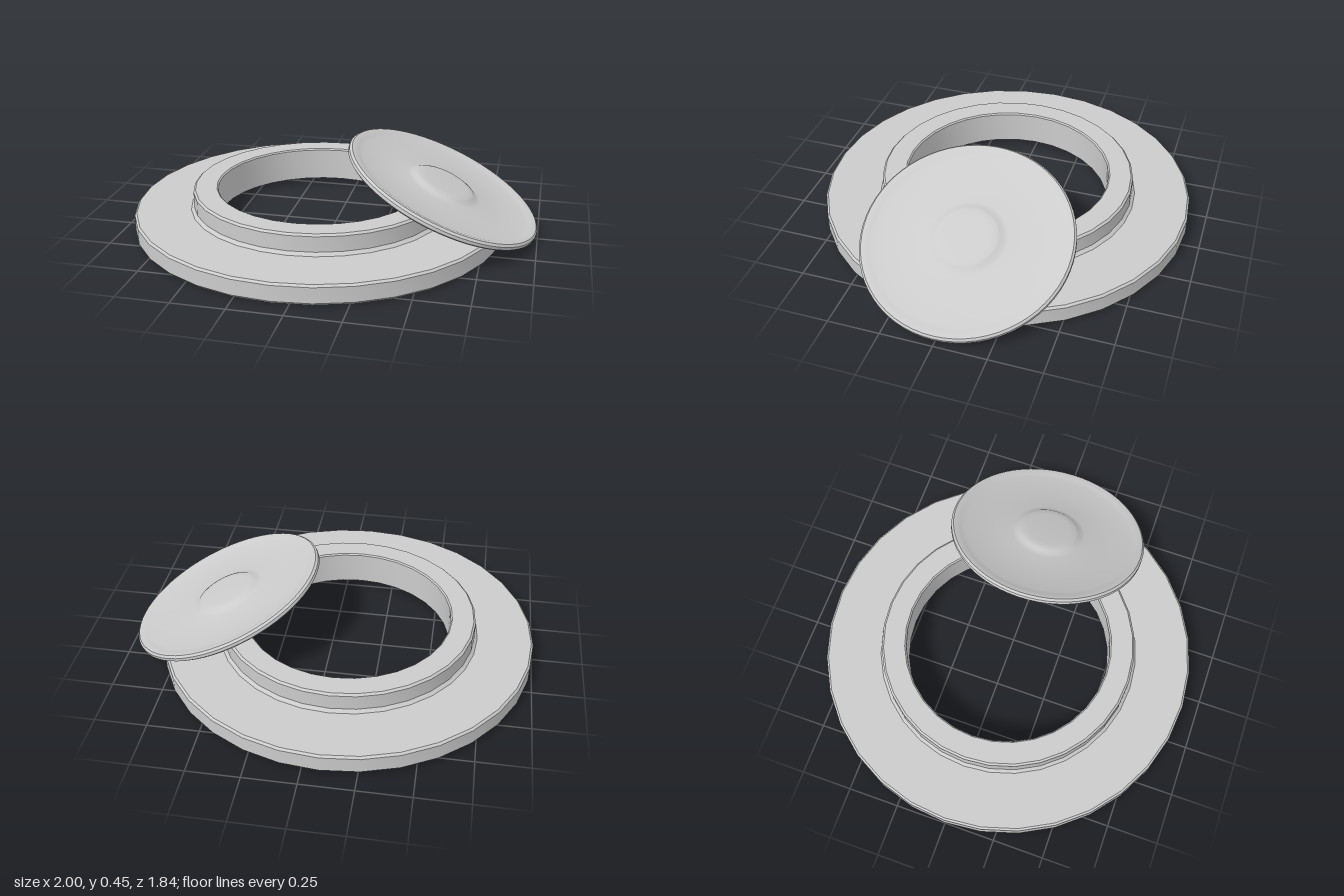
import * as THREE from 'three';
import { toCreasedNormals } from 'three/addons/utils/BufferGeometryUtils.js';

const material = new THREE.MeshStandardMaterial({ color: 0xcccccc, side: THREE.DoubleSide });

// Turned part from [radius, height] pairs, listed counter-clockwise
function turned(name, profile, segments, crease) {
  const points = profile.map(([r, y]) => new THREE.Vector2(r, y));
  const geometry = toCreasedNormals(new THREE.LatheGeometry(points, segments), crease);
  const mesh = new THREE.Mesh(geometry, material);
  mesh.name = name;
  return mesh;
}

export function createModel() {
  const model = new THREE.Group();
  model.name = 'ringWithLid';

  // Hollow flange with a raised collar and an inner tube, open underneath
  const ring = turned('flangedRing', [
    [0.63, 0], [0.905, 0], [0.92, 0.015], [0.92, 0.09], [0.91, 0.1],
    [0.645, 0.1], [0.63, 0.115], [0.63, 0.19], [0.62, 0.2],
    [0.515, 0.2], [0.508, 0.193], [0.508, 0.03],
  ], 32, 0.5);
  ring.position.x = -0.08;
  model.add(ring);

  // Dished lid with a soft central boss, leaning on the collar
  const lid = turned('lid', [
    [0, -0.01], [0.44, -0.01], [0.46, -0.018], [0.488, -0.018], [0.5, -0.008],
    [0.5, 0.008], [0.49, 0.018], [0.475, 0.018], [0.455, 0.012], [0.43, 0.006],
    [0.3, 0.004], [0.19, 0.004], [0.17, 0.008], [0.155, 0.018], [0.14, 0.024],
    [0.11, 0.026], [0, 0.026],
  ], 64, 0.7);
  lid.position.set(0.535, 0.235, 0);
  lid.rotation.z = THREE.MathUtils.degToRad(-23.5);
  model.add(lid);

  return model;
}
